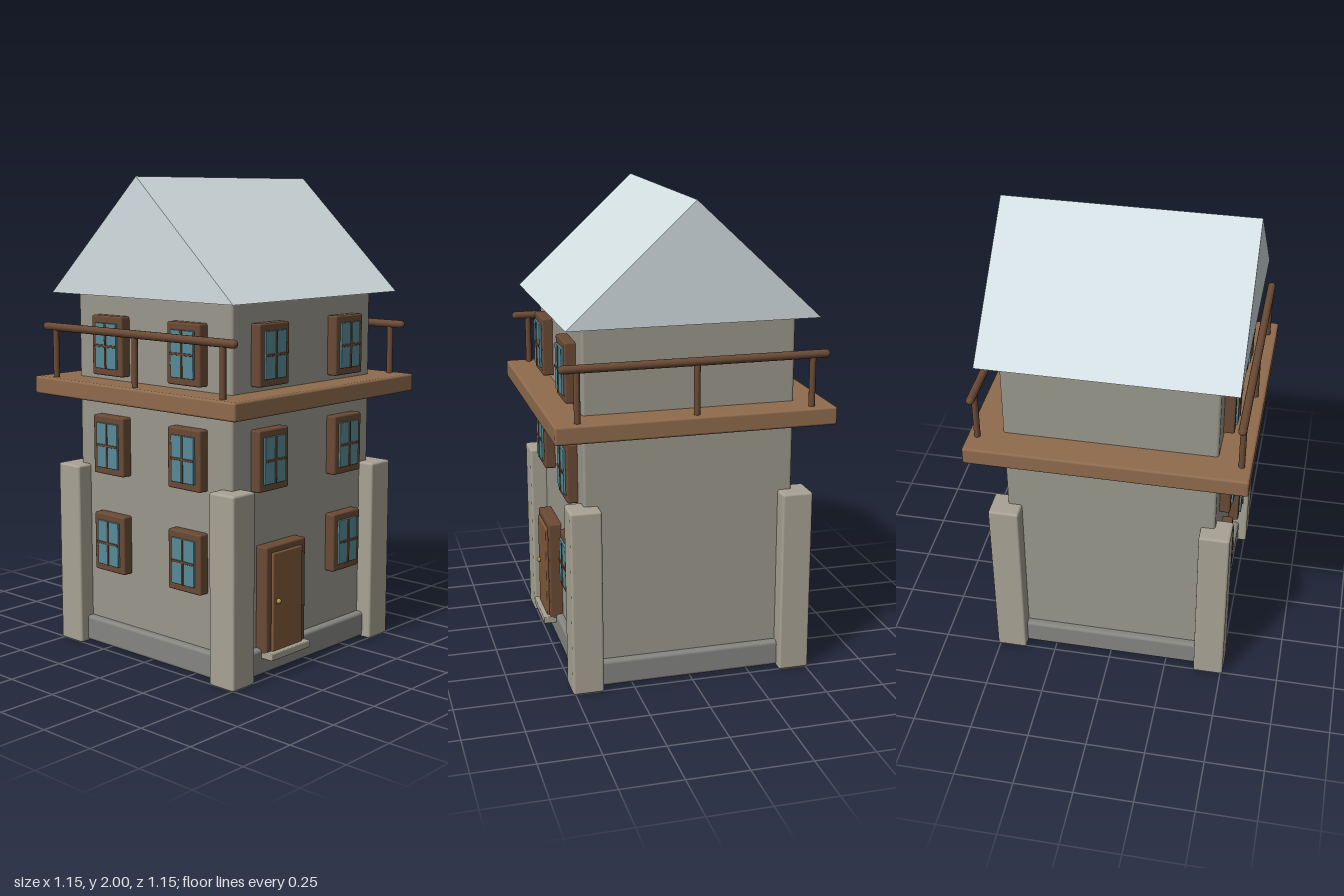
import * as THREE from 'three';
import { RoundedBoxGeometry } from 'three/addons/geometries/RoundedBoxGeometry.js';

const mat = (color, opts = {}) => new THREE.MeshStandardMaterial({ color, ...opts });
const wallMat = mat(0x9a988c);
const stoneMat = mat(0xa8a394);
const plinthMat = mat(0x858582);
const roofMat = mat(0xd3dfe2, { flatShading: true });
const deckMat = mat(0x8f6b4d);
const frameMat = mat(0x6a4a35);
const doorMat = mat(0x7f5a3b);
const glassMat = mat(0x588a96);
const brassMat = mat(0xb8954a);

function add(parent, name, geometry, material, x, y, z) {
  const mesh = new THREE.Mesh(geometry, material);
  mesh.name = name;
  mesh.position.set(x, y, z);
  parent.add(mesh);
  return mesh;
}

// Softly bevelled block, placed by its centre
function block(parent, name, material, [w, h, d], [x, y, z], bevel = 0.008) {
  return add(parent, name, new RoundedBoxGeometry(w, h, d, 2, bevel), material, x, y, z);
}

// Window whose back rests on z = 0, facing +z
function makeWindow(name) {
  const win = new THREE.Group();
  win.name = name;
  block(win, 'windowFrame', frameMat, [0.18, 0.25, 0.05], [0, 0, 0.02]);
  block(win, 'windowGlass', glassMat, [0.125, 0.19, 0.012], [0, 0, 0.048], 0.002);
  block(win, 'verticalBar', frameMat, [0.01, 0.19, 0.01], [0, 0, 0.053], 0.002);
  block(win, 'horizontalBar', frameMat, [0.125, 0.01, 0.01], [0, 0, 0.053], 0.002);
  return win;
}

function makeDoor() {
  const door = new THREE.Group();
  door.name = 'door';
  block(door, 'doorFrame', frameMat, [0.245, 0.45, 0.06], [0, 0.315, 0.465]);
  block(door, 'doorLeaf', doorMat, [0.185, 0.42, 0.04], [0, 0.303, 0.485], 0.006);
  block(door, 'doorStep', stoneMat, [0.245, 0.03, 0.09], [0, 0.09, 0.48], 0.004);
  add(door, 'doorKnob', new THREE.SphereGeometry(0.011, 14, 10), brassMat, -0.062, 0.31, 0.508);
  door.position.x = -0.172;
  return door;
}

// Rail along z on three posts
function makeRailing(side) {
  const railing = new THREE.Group();
  railing.name = side > 0 ? 'leftRailing' : 'rightRailing';
  const rail = add(railing, 'handrail', new THREE.CapsuleGeometry(0.017, 1.07, 4, 14), frameMat, 0, 1.377, 0);
  rail.rotation.x = Math.PI / 2;
  for (const z of [-0.48, 0, 0.48]) {
    add(railing, 'railingPost', new THREE.CylinderGeometry(0.013, 0.013, 0.23, 14), frameMat, 0, 1.265, z);
  }
  railing.position.x = side * 0.536;
  return railing;
}

// Closed gable prism with its ridge along x
function makeRoof() {
  const gable = new THREE.Shape();
  gable.moveTo(-0.517, 0);
  gable.lineTo(0.517, 0);
  gable.lineTo(0, 0.48);
  gable.closePath();
  const geometry = new THREE.ExtrudeGeometry(gable, { depth: 1.04, bevelEnabled: false });
  geometry.translate(0, 0, -0.52);
  geometry.rotateY(Math.PI / 2);
  return geometry;
}

export function createModel() {
  const tower = new THREE.Group();
  tower.name = 'tower';

  // Body and base
  block(tower, 'walls', wallMat, [0.88, 1.5, 0.88], [0, 0.77, 0], 0.012);
  block(tower, 'plinth', plinthMat, [0.94, 0.11, 0.94], [0, 0.06, 0], 0.014);

  // Corner buttresses
  for (const x of [-0.445, 0.445]) {
    for (const z of [-0.445, 0.445]) {
      block(tower, 'cornerButtress', stoneMat, [0.13, 0.785, 0.13], [x, 0.3925, z], 0.01);
    }
  }

  // Gallery and roof
  block(tower, 'galleryDeck', deckMat, [1.154, 0.075, 1.154], [0, 1.126, 0], 0.01);
  tower.add(makeRailing(1), makeRailing(-1));
  add(tower, 'roof', makeRoof(), roofMat, 0, 1.52, 0);

  // Front windows, with the door in place of the lower one on one side
  tower.add(makeDoor());
  for (const [x, y] of [[-0.24, 1.31], [0.24, 1.31], [-0.24, 0.89], [0.24, 0.89], [0.24, 0.47]]) {
    const win = makeWindow('frontWindow');
    win.position.set(x, y, 0.44);
    tower.add(win);
  }

  // Side windows on the -x wall
  for (const y of [1.31, 0.89, 0.47]) {
    for (const z of [-0.22, 0.22]) {
      const win = makeWindow('sideWindow');
      win.position.set(-0.44, y, z);
      win.rotation.y = -Math.PI / 2;
      tower.add(win);
    }
  }
  return tower;
}
